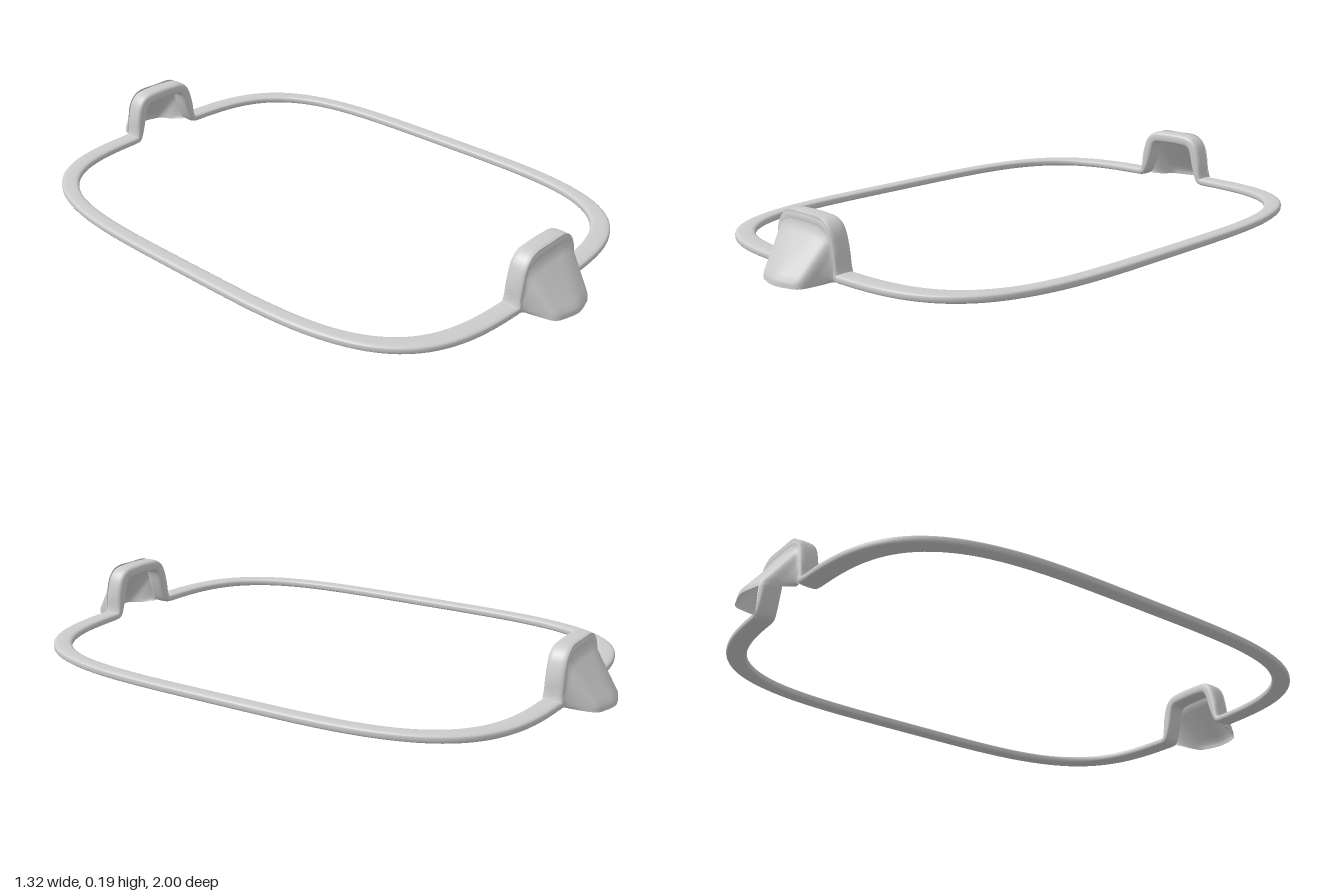
import * as THREE from 'three';

const v = (x, y, z) => new THREE.Vector3(x, y, z);
const material = new THREE.MeshStandardMaterial({ color: 0xcccccc, side: THREE.DoubleSide });

// Builds a smooth surface from rows of points; wraps rows and columns when closed.
function loft(rows, closed) {
  const n = rows.length, m = rows[0].length, index = [];
  for (let i = 0; i < (closed ? n : n - 1); i++) {
    for (let j = 0; j < (closed ? m : m - 1); j++) {
      const i2 = (i + 1) % n, j2 = (j + 1) % m;
      const a = i * m + j, b = i2 * m + j, c = i2 * m + j2, d = i * m + j2;
      index.push(a, b, d, b, c, d);
    }
  }
  const g = new THREE.BufferGeometry();
  g.setAttribute('position', new THREE.Float32BufferAttribute(rows.flat().flatMap(p => p.toArray()), 3));
  g.setIndex(index);
  g.computeVertexNormals();
  return g;
}

// Rounded-rectangular centreline of the ring
const A = 0.635, B = 0.858, N = 3.9, Y = 0.0225, FOOT = 0.16;
function ringPoint(angle) {
  const c = Math.cos(angle), s = Math.sin(angle);
  const r = Math.pow(Math.pow(Math.abs(c), N) + Math.pow(Math.abs(s), N), -1 / N);
  return v(A * c * r, Y, B * s * r);
}

// Arch that lifts the ring at each end, from the +x foot to the -x foot
function archPoints() {
  const half = [[0.152, 0.0225], [0.136, 0.026], [0.127, 0.045], [0.117, 0.09], [0.105, 0.136], [0.095, 0.154], [0.078, 0.166], [0.04, 0.17]];
  const pts = [...half, [0, 0.171], ...half.slice().reverse().map(([x, y]) => [-x, y])];
  return new THREE.CatmullRomCurve3(pts.map(([x, y]) => v(x, y, B)), false, 'centripetal').getPoints(56);
}

// Rounded-square blend of a sine or cosine for the bar's section
const squarish = a => Math.sign(a) * Math.pow(Math.abs(a), 0.6);

function ringGeometry() {
  const start = Math.atan2(B, FOOT * B / A);
  const halfPath = [];
  // one long side, from the back foot round to the front foot
  for (let i = 0; i <= 90; i++) halfPath.push(ringPoint(-start + (2 * start * i) / 90));
  halfPath.push(...archPoints());
  const path = [...halfPath, ...halfPath.map(p => v(-p.x, p.y, -p.z))];

  const rows = path.map((p, i) => {
    const t = path[(i + 1) % path.length].clone().sub(path[(i - 1 + path.length) % path.length]).normalize();
    const out = v(
      Math.sign(p.x) * Math.pow(Math.abs(p.x) / A, N - 1) / A, 0,
      Math.sign(p.z) * Math.pow(Math.abs(p.z) / B, N - 1) / B).normalize();
    out.addScaledVector(t, -out.dot(t)).normalize();
    const up = t.clone().cross(out).normalize();
    // wider at the ends, thicker on the arch
    const width = 0.025 + 0.008 * THREE.MathUtils.smoothstep(Math.abs(p.z), 0.55, B);
    const thick = 0.0135 + 0.0075 * THREE.MathUtils.smoothstep(p.y, Y, 0.1);
    return Array.from({ length: 24 }, (_, k) => {
      const a = (k / 24) * Math.PI * 2;
      return p.clone()
        .addScaledVector(out, squarish(Math.cos(a)) * width)
        .addScaledVector(up, -squarish(Math.sin(a)) * thick);
    });
  });
  return loft(rows, true);
}

// Thin hood: follows the arch's outer face, then slopes down to a bowed lower lip
function hoodGeometry() {
  const mirrored = half => new THREE.CatmullRomCurve3(
    [...half.map(p => v(...p)), ...half.slice(0, -1).reverse().map(([x, y, z]) => v(-x, y, z))], false, 'centripetal');
  const rim = mirrored([[0.143, 0.016, 0.884], [0.135, 0.085, 0.888], [0.12, 0.15, 0.888], [0.085, 0.185, 0.888], [0, 0.19, 0.888]]);
  const knee = mirrored([[0.138, 0.013, 0.886], [0.126, 0.08, 0.892], [0.112, 0.132, 0.892], [0.07, 0.15, 0.892], [0, 0.152, 0.892]]);
  const crease = mirrored([[0.126, 0.011, 0.887], [0.107, 0.015, 0.928], [0.086, 0.019, 0.972], [0.05, 0.019, 0.987], [0, 0.019, 0.997]]);
  const lip = mirrored([[0.12, 0.01, 0.888], [0.104, 0.004, 0.93], [0.085, 0.001, 0.975], [0.05, 0, 0.99], [0, 0, 1]]);
  const SEG = 48, rows = [];
  const row = (a, b, f) => Array.from({ length: SEG + 1 }, (_, i) => a.getPoint(i / SEG).lerp(b.getPoint(i / SEG), f));
  rows.push(row(rim, knee, 0), row(rim, knee, 0.5));
  for (let i = 0; i <= 8; i++) rows.push(row(knee, crease, i / 8));
  rows.push(row(crease, lip, 0.5), row(crease, lip, 1));
  return loft(rows.map(r => r.reverse()), false);
}

export function createModel() {
  const group = new THREE.Group();
  group.name = 'ringFrame';

  const ring = new THREE.Mesh(ringGeometry(), material);
  ring.name = 'ring';
  group.add(ring);

  // one hood at each end
  const hood = hoodGeometry();
  ['frontHood', 'backHood'].forEach((name, i) => {
    const mesh = new THREE.Mesh(hood, material);
    mesh.name = name;
    mesh.rotation.y = i * Math.PI;
    group.add(mesh);
  });
  return group;
}
